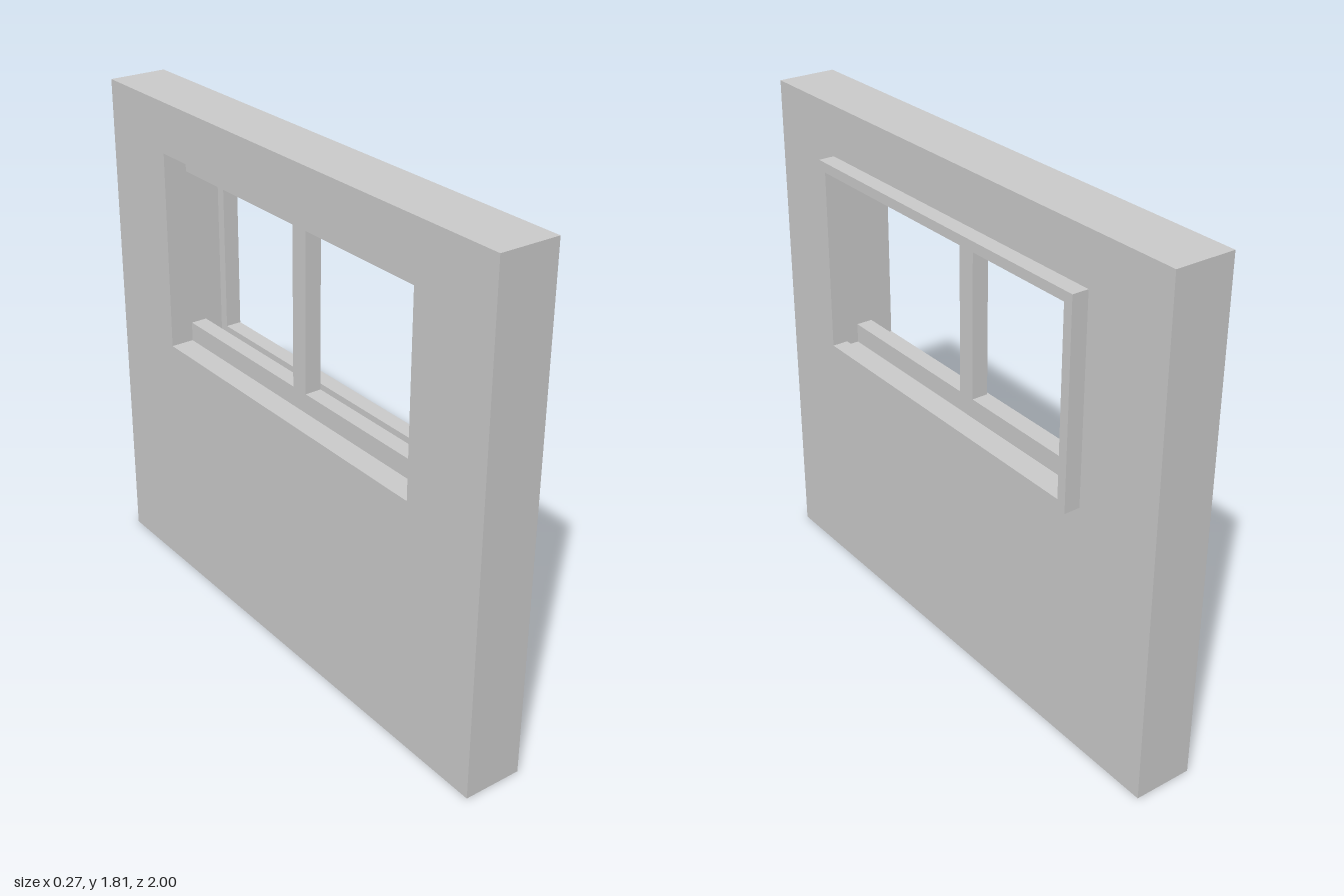
import * as THREE from 'three';

const material = new THREE.MeshStandardMaterial({ color: 0xcccccc, flatShading: true });

// Rectangle in the z-y plane, symmetric about z = 0
function rectPoints(halfWidth, bottom, top) {
  return [[-halfWidth, bottom], [halfWidth, bottom], [halfWidth, top], [-halfWidth, top]]
    .map(([z, y]) => new THREE.Vector2(z, y));
}

// Rectangular slab with a rectangular opening, spanning x0 to x1
function framedSlab(name, outer, inner, x0, x1) {
  const shape = new THREE.Shape(rectPoints(...outer));
  shape.holes.push(new THREE.Path(rectPoints(...inner)));
  const geometry = new THREE.ExtrudeGeometry(shape, { depth: x1 - x0, bevelEnabled: false });
  geometry.rotateY(Math.PI / 2).translate(x0, 0, 0);
  const mesh = new THREE.Mesh(geometry, material);
  mesh.name = name;
  return mesh;
}

// Window bar centred on z = 0
function bar(name, width, bottom, top, x0, x1) {
  const mesh = new THREE.Mesh(new THREE.BoxGeometry(x1 - x0, top - bottom, width), material);
  mesh.position.set((x0 + x1) / 2, (bottom + top) / 2, 0);
  mesh.name = name;
  return mesh;
}

export function createModel() {
  const group = new THREE.Group();
  group.name = 'wallWithWindow';

  const opening = [0.665, 0.91, 1.63];
  const barBack = -0.05, barFront = 0.01;

  // Wall panel and the raised trim around its opening
  group.add(framedSlab('wall', [1, 0, 1.81], opening, -0.135, 0.077));
  group.add(framedSlab('windowTrim', opening, [0.63, 0.945, 1.595], 0.077, 0.135));

  // Rails and mullion set inside the opening
  group.add(bar('bottomRail', 1.33, 0.91, 0.98, barBack, barFront));
  group.add(bar('topRail', 1.33, 1.55, 1.63, barBack, barFront));
  group.add(bar('mullion', 0.07, 0.98, 1.55, barBack, barFront));

  return group;
}
